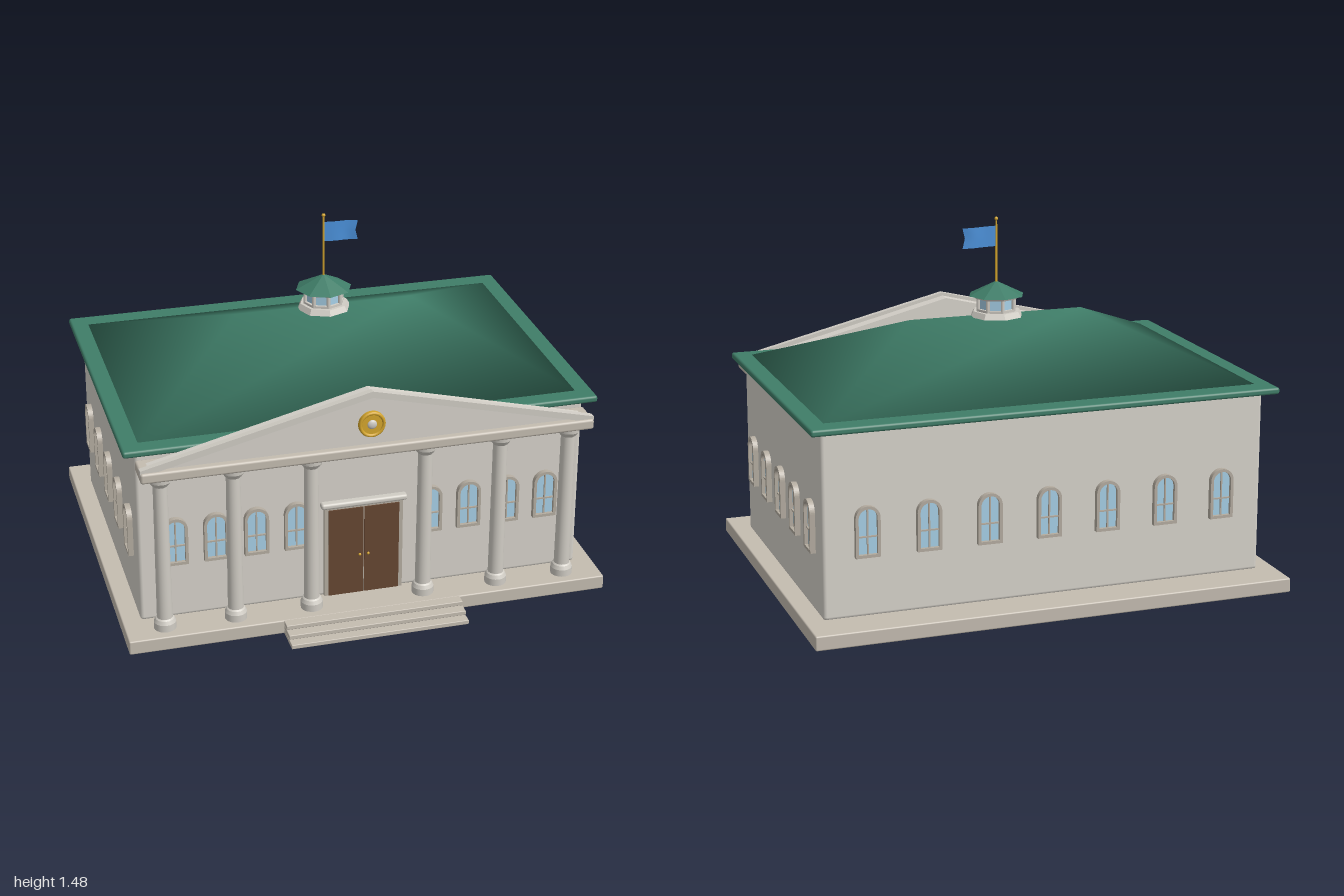
import * as THREE from 'three';
import { RoundedBoxGeometry } from 'three/addons/geometries/RoundedBoxGeometry.js';

const CZ = -0.0625; // centre of the building in z
const material = (color, extra = {}) => new THREE.MeshStandardMaterial({ color, ...extra });
const M = {
  stone: material(0xc4bcb0), wall: material(0xd6d2ca), trim: material(0xd0ccc4),
  frame: material(0xb4aca0), roof: material(0x3f7d68), door: material(0x654632),
  glass: material(0xa6cfe6), gold: material(0xd4a52c),
  flag: material(0x4a90d9, { side: THREE.DoubleSide }),
};

function add(parent, name, geometry, mat, x = 0, y = 0, z = 0) {
  const mesh = new THREE.Mesh(geometry, mat);
  mesh.name = name;
  mesh.position.set(x, y, z);
  parent.add(mesh);
  return mesh;
}

// Box given by its lower and upper limits, with optional rounded edges
function block(parent, name, mat, [x0, x1], [y0, y1], [z0, z1], r = 0) {
  const s = [x1 - x0, y1 - y0, z1 - z0];
  const geo = r ? new RoundedBoxGeometry(...s, 2, r) : new THREE.BoxGeometry(...s);
  return add(parent, name, geo, mat, (x0 + x1) / 2, (y0 + y1) / 2, (z0 + z1) / 2);
}

const polygon = (points) => new THREE.Shape(points.map(([x, y]) => new THREE.Vector2(x, y)));
const extrude = (shape, depth) =>
  new THREE.ExtrudeGeometry(shape, { depth, bevelEnabled: false, curveSegments: 12 });

// Round-headed outline standing on y = bottom
function arch(halfWidth, bottom, spring) {
  const s = new THREE.Shape();
  s.moveTo(-halfWidth, bottom);
  s.lineTo(halfWidth, bottom);
  s.lineTo(halfWidth, spring);
  s.absarc(0, spring, halfWidth, 0, Math.PI, false);
  s.closePath();
  return s;
}

const frameShape = arch(0.05, 0, 0.158);
frameShape.holes.push(arch(0.038, 0.012, 0.158));
const frameGeo = extrude(frameShape, 0.027);
const glassGeo = extrude(arch(0.04, 0.01, 0.158), 0.012);

function addWindow(parent, x, z, turn) {
  const w = new THREE.Group();
  w.name = 'window';
  add(w, 'windowFrame', frameGeo, M.frame, 0, 0, -0.005);
  add(w, 'windowGlass', glassGeo, M.glass, 0, 0, -0.005);
  block(w, 'verticalBar', M.frame, [-0.003, 0.003], [0.01, 0.195], [0, 0.014]);
  block(w, 'crossBar', M.frame, [-0.038, 0.038], [0.08, 0.086], [0, 0.014]);
  w.position.set(x, 0.302, z);
  w.rotation.y = turn;
  parent.add(w);
}

// Hipped roof: four eave corners, two ridge ends, softly shaded
function hipRoof(hx, hz, ridge, y0, y1) {
  const geo = new THREE.BufferGeometry();
  geo.setAttribute('position', new THREE.Float32BufferAttribute([
    -hx, y0, hz, hx, y0, hz, hx, y0, -hz, -hx, y0, -hz, -ridge, y1, 0, ridge, y1, 0], 3));
  geo.setIndex([0, 1, 5, 0, 5, 4, 2, 3, 4, 2, 4, 5, 1, 2, 5, 3, 0, 4, 0, 3, 1, 1, 3, 2]);
  // bottom split along the other diagonal
  geo.setIndex([...geo.index.array.slice(0, 18), 0, 3, 1, 1, 3, 2].map(
    (v, i) => (i < 18 ? v : [0, 3, 1, 1, 3, 2][i - 18])));
  geo.computeVertexNormals();
  return geo;
}

function buildCupola() {
  const g = new THREE.Group();
  g.name = 'cupola';
  const ring = (name, rTop, rBottom, y0, y1, mat) => add(g, name,
    new THREE.CylinderGeometry(rTop, rBottom, y1 - y0, 8).toNonIndexed(), mat, 0, (y0 + y1) / 2, 0)
    .geometry.computeVertexNormals();
  ring('cupolaBase', 0.1, 0.113, 1.07, 1.093, M.trim);
  ring('cupolaSill', 0.086, 0.086, 1.09, 1.103, M.trim);
  ring('cupolaGlass', 0.074, 0.074, 1.1, 1.15, M.glass);
  ring('cupolaCornice', 0.1, 0.09, 1.145, 1.162, M.trim);
  ring('cupolaRoof', 0.006, 0.118, 1.157, 1.213, M.roof);
  for (let i = 0; i < 8; i++) {
    const a = (i * Math.PI) / 4;
    add(g, 'cupolaPost', new THREE.CylinderGeometry(0.008, 0.008, 0.06, 8), M.trim,
      0.079 * Math.sin(a), 1.125, 0.079 * Math.cos(a));
  }
  // flagpole and waving flag with a notched end
  add(g, 'flagpole', new THREE.CylinderGeometry(0.004, 0.005, 0.28, 10), M.gold, 0, 1.335, 0);
  add(g, 'finial', new THREE.SphereGeometry(0.008, 12, 8), M.gold, 0, 1.475, 0);
  const flag = new THREE.PlaneGeometry(0.145, 0.085, 16, 4);
  const p = flag.attributes.position;
  for (let i = 0; i < p.count; i++) {
    const t = p.getX(i) / 0.145 + 0.5;
    const notch = 0.01 * t * (1 - Math.abs(p.getY(i)) / 0.0425);
    p.setXYZ(i, p.getX(i) - notch, p.getY(i) - 0.004 * t, 0.005 * Math.sin(t * 7) * t);
  }
  flag.computeVertexNormals();
  add(g, 'flag', flag, M.flag, 0.0725, 1.403, 0);
  g.position.z = CZ;
  return g;
}

export function createModel() {
  const model = new THREE.Group();
  model.name = 'classicalHall';

  // Plinth and front steps
  block(model, 'plinth', M.stone, [-1, 1], [0, 0.06], [-0.84, 0.71], 0.006);
  [0.835, 0.795, 0.752].forEach((z, i) =>
    block(model, 'step', M.stone, [-0.37, 0.37], [i * 0.02, (i + 1) * 0.02 - 0.001], [0.69, z], 0.003));

  // Walls, eaves and roof
  block(model, 'walls', M.wall, [-0.925, 0.925], [0.055, 0.825], [-0.68, 0.555], 0.015);
  block(model, 'eaves', M.roof, [-0.975, 0.975], [0.812, 0.84], [-0.738, 0.597], 0.01);
  add(model, 'roof', hipRoof(0.925, 0.61, 0.375, 0.83, 1.077), M.roof, 0, 0, CZ);
  model.add(buildCupola());

  // Windows on all four sides
  for (const s of [-1, 1]) {
    for (let i = 0; i < 4; i++) addWindow(model, s * (0.28 + 0.165 * i), 0.555, 0);
    for (let i = -2; i <= 2; i++) addWindow(model, s * 0.925, CZ + 0.234 * i, (s * Math.PI) / 2);
  }
  for (let i = -3; i <= 3; i++) addWindow(model, 0.249 * i, -0.68, Math.PI);

  // Double door with frame, lintel and knobs
  block(model, 'doorFrame', M.frame, [-0.165, 0.165], [0.06, 0.47], [0.545, 0.567]);
  block(model, 'lintel', M.trim, [-0.18, 0.18], [0.467, 0.492], [0.545, 0.585], 0.01);
  for (const s of [-1, 1]) {
    add(model, 'doorLeaf', new THREE.BoxGeometry(0.146, 0.393, 0.02), M.door, s * 0.075, 0.2585, 0.562);
    add(model, 'doorKnob', new THREE.SphereGeometry(0.006, 10, 8), M.gold, s * 0.018, 0.24, 0.576);
  }

  // Portico columns
  const profile = [[0, 0.058], [0.045, 0.058], [0.045, 0.09], [0.038, 0.105], [0.032, 0.11],
    [0.029, 0.7], [0.034, 0.705], [0.046, 0.722], [0.048, 0.745], [0, 0.745]];
  // repeated points keep the profile edges crisp
  const crisp = profile.flatMap(([r, y]) => [new THREE.Vector2(r, y), new THREE.Vector2(r, y)]);
  const columnGeo = new THREE.LatheGeometry(crisp.slice(1, -1), 20);
  for (const s of [-1, 1]) {
    for (const x of [0.235, 0.55, 0.84]) add(model, 'column', columnGeo, M.trim, s * x, 0, 0.63);
  }

  // Entablature and pediment
  block(model, 'entablature', M.stone, [-0.925, 0.925], [0.743, 0.787], [0.563, 0.694], 0.01);
  add(model, 'pediment', extrude(polygon([[-0.915, 0.78], [0.915, 0.78], [0, 1.008]]), 0.065),
    M.wall, 0, 0, 0.6);
  add(model, 'rakingCornice', extrude(polygon([[-0.925, 0.77], [0, 0.995], [0.925, 0.77],
    [0.925, 0.797], [0, 1.022], [-0.925, 0.797]]), 0.027), M.trim, 0, 0, 0.657);

  // Round medallion
  const disc = add(model, 'medallion', new THREE.CylinderGeometry(0.055, 0.055, 0.016, 28), M.gold, 0, 0.876, 0.668);
  disc.rotation.x = Math.PI / 2;
  add(model, 'medallionRim', new THREE.TorusGeometry(0.048, 0.007, 8, 28), M.gold, 0, 0.876, 0.676);
  const boss = add(model, 'medallionBoss', new THREE.SphereGeometry(0.02, 16, 10), M.trim, 0, 0.876, 0.675);
  boss.scale.z = 0.5;

  return model;
}
